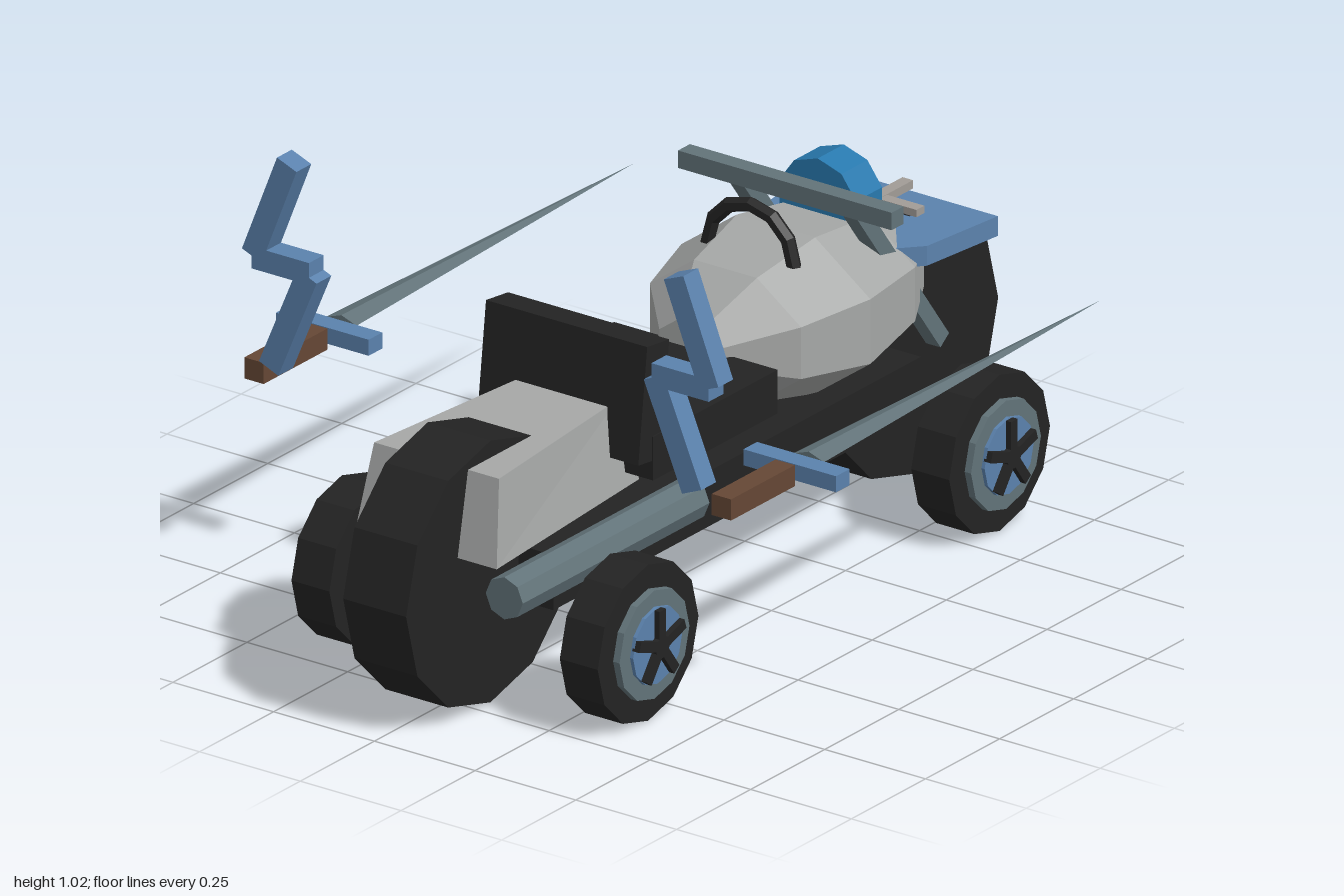
import * as THREE from 'three';

const mat = (name, color) => {
  const m = new THREE.MeshStandardMaterial({ color, flatShading: true });
  m.name = name;
  return m;
};

export function createModel() {
  const black = mat('black', 0x232323);
  const silver = mat('light grey', 0xa6a8a7);
  const slate = mat('slate grey', 0x627379);
  const blue = mat('steel blue', 0x5b82ad);
  const bright = mat('bright blue', 0x2879ae);
  const brown = mat('brown', 0x654735);
  const stone = mat('warm grey', 0xa19c97);

  const group = new THREE.Group();
  const add = (name, geo, material, x = 0, y = 0, z = 0, parent = group) => {
    const m = new THREE.Mesh(geo, material);
    m.name = name;
    m.position.set(x, y, z);
    parent.add(m);
    return m;
  };
  // Box given by its low and high limits on each axis
  const box = (name, material, [x0, x1], [y0, y1], [z0, z1], parent) =>
    add(name, new THREE.BoxGeometry(x1 - x0, y1 - y0, z1 - z0), material,
      (x0 + x1) / 2, (y0 + y1) / 2, (z0 + z1) / 2, parent);
  // Square beam between two points
  const beam = (name, material, a, b, w, d) => {
    const p = new THREE.Vector3(...a), q = new THREE.Vector3(...b);
    const dir = q.clone().sub(p);
    const m = add(name, new THREE.BoxGeometry(w, dir.length(), d), material);
    m.position.copy(p).add(q).multiplyScalar(0.5);
    m.quaternion.setFromUnitVectors(new THREE.Vector3(0, 1, 0), dir.normalize());
    return m;
  };
  const discX = (r, w, n) => new THREE.CylinderGeometry(r, r, w, n).rotateZ(Math.PI / 2);

  // Frame and seat
  box('frame', black, [-0.165, 0.165], [0.197, 0.317], [-0.62, 0.62]);
  box('seat', black, [-0.203, 0.203], [0.39, 0.485], [-0.085, 0.335]);
  const back = add('seatBack', new THREE.BoxGeometry(0.4, 0.25, 0.075), black, 0, 0.557, 0.329);
  back.rotation.x = -0.12;
  add('seatPanel', new THREE.BoxGeometry(0.31, 0.17, 0.009), slate, 0, 0.01, -0.042, back);

  // Big wheels in line
  for (const s of [1, -1])
    add(s > 0 ? 'frontBigWheel' : 'rearBigWheel', discX(0.285, 0.156, 12), black, 0, 0.292, s * 0.714);

  // Tapered grey cover over the wheel behind the seat
  const cover = new THREE.BoxGeometry(2, 0.18, 2);
  const cp = cover.attributes.position;
  for (let i = 0; i < cp.count; i++) {
    const top = cp.getY(i) > 0, far = cp.getZ(i) > 0;
    const w = far ? (top ? 0.155 : 0.175) : (top ? 0.11 : 0.135);
    const z = far ? (top ? 0.79 : 0.825) : (top ? 0.33 : 0.29);
    cp.setX(i, Math.sign(cp.getX(i)) * w);
    cp.setZ(i, z);
  }
  cover.computeVertexNormals();
  add('wheelCover', cover, silver, 0, 0.45, 0);

  // Faceted egg-shaped tank
  const profile = [[0, 0.07], [0.34, 0.07], [0.8, 0.185], [1, 0.355], [0.83, 0.56], [0.55, 0.68], [0, 0.68]]
    .map(([r, z]) => new THREE.Vector2(r, z));
  const tank = new THREE.LatheGeometry(profile, 8, Math.PI / 8)
    .rotateX(-Math.PI / 2).scale(0.254, 0.184, 1);
  add('tank', tank, silver, 0, 0.482, 0);

  // Black arched grip, crossbar and round screen
  add('archGrip', new THREE.TorusGeometry(0.107, 0.016, 6, 6, Math.PI), black, 0, 0.622, -0.27);
  box('crossbar', slate, [-0.265, 0.265], [0.7, 0.738], [-0.425, -0.385]);
  add('roundScreen', new THREE.CylinderGeometry(0.1, 0.1, 0.088, 10).rotateX(Math.PI / 2),
    bright, 0, 0.65, -0.54);

  // Blue mudguard plate with a cross on top
  const plate = new THREE.Shape([[-0.22, -0.805], [0.22, -0.805], [0.195, -0.6], [0.14, -0.54],
    [-0.14, -0.54], [-0.195, -0.6]].map(([x, z]) => new THREE.Vector2(x, z)));
  add('mudguard', new THREE.ExtrudeGeometry(plate, { depth: 0.043, bevelEnabled: false })
    .rotateX(Math.PI / 2), blue, 0, 0.573, 0);
  box('crossLong', stone, [-0.013, 0.013], [0.582, 0.6], [-0.8, -0.58]);
  box('crossShort', stone, [-0.106, 0.106], [0.583, 0.599], [-0.712, -0.685]);

  // Mirrored parts
  for (const s of [1, -1]) {
    const side = s > 0 ? 'left' : 'right';
    beam(side + 'Fork', slate, [s * 0.14, 0.715, -0.415], [s * 0.14, 0.32, -0.71], 0.036, 0.036);
    add(side + 'Pipe', new THREE.CylinderGeometry(0.046, 0.046, 0.63, 8).rotateX(Math.PI / 2),
      slate, s * 0.168, 0.283, 0.475);

    // Small side wheels with five-spoke hubs
    for (const z of [0.593, -0.593]) {
      const wheel = new THREE.Group();
      wheel.name = side + (z > 0 ? 'Front' : 'Rear') + 'SmallWheel';
      wheel.position.set(s * 0.333, 0.172, z);
      group.add(wheel);
      add('tyre', discX(0.17, 0.094, 12), black, 0, 0, 0, wheel);
      add('rim', discX(0.118, 0.02, 12), slate, s * 0.053, 0, 0, wheel);
      add('hubDisc', discX(0.083, 0.02, 12), blue, s * 0.061, 0, 0, wheel);
      add('hubCap', discX(0.024, 0.02, 8), black, s * 0.074, 0, 0, wheel);
      for (let i = 0; i < 5; i++)
        add('spoke', new THREE.BoxGeometry(0.018, 0.08, 0.022).translate(0, 0.04, 0),
          black, s * 0.075, 0, 0, wheel).rotation.x = i * Math.PI * 0.4;
    }

    // Lance: flat blade, guard, grip and zigzag end
    const x = s * 0.58;
    add(side + 'Blade', new THREE.ConeGeometry(0.038, 0.99, 4).rotateX(-Math.PI / 2).scale(1, 0.35, 1),
      slate, x, 0.532, -0.172);
    add(side + 'Guard', new THREE.BoxGeometry(0.23, 0.035, 0.046), blue, x, 0.526, 0.364);
    add(side + 'Grip', new THREE.BoxGeometry(0.048, 0.046, 0.215), brown, x, 0.527, 0.51);
    const zig = 0.618;
    beam(side + 'ZigzagLower', blue, [s * 0.525, 0.555, zig], [s * 0.43, 0.78, zig], 0.052, 0.05);
    add(side + 'ZigzagMiddle', new THREE.BoxGeometry(0.142, 0.048, 0.05), blue, s * 0.496, 0.786, zig);
    beam(side + 'ZigzagUpper', blue, [s * 0.567, 0.79, zig], [s * 0.48, 1.01, zig], 0.052, 0.05);
  }
  return group;
}
